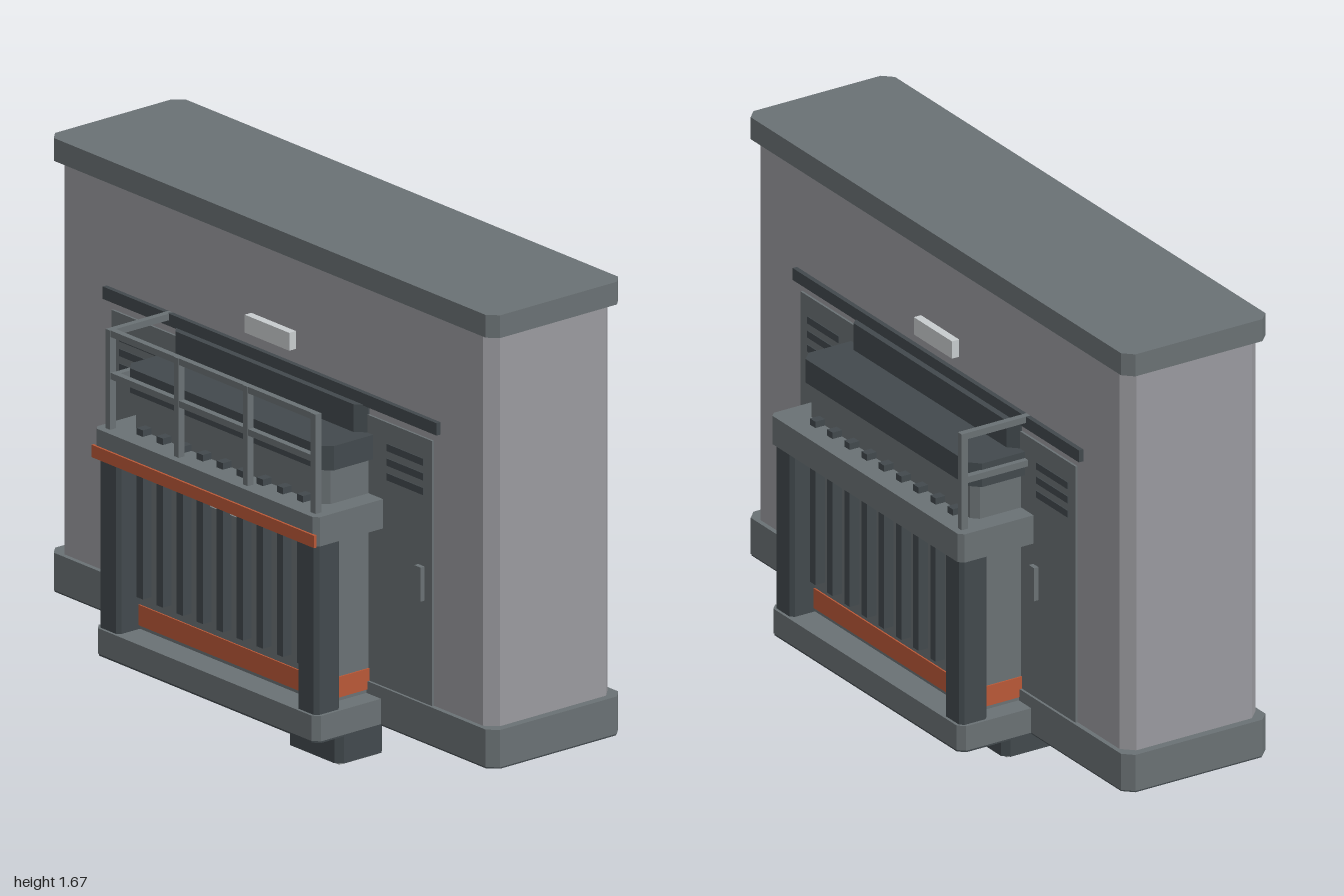
import * as THREE from 'three';

const paint = (name, color) => {
  const m = new THREE.MeshStandardMaterial({ color });
  m.name = name;
  return m;
};

export function createModel() {
  const root = new THREE.Group();
  root.name = 'wallUnit';
  const mid = paint('slateGrey', 0x6a7174);
  const pale = paint('stoneGrey', 0x9a9a9f);
  const dark = paint('charcoal', 0x42494d);
  const rust = paint('rustOrange', 0xb95837);
  const light = paint('lightPanel', 0xc8ccce);

  const add = (parent, name, geo, mat) => {
    const m = new THREE.Mesh(geo, mat);
    m.name = name;
    parent.add(m);
    return m;
  };

  // Box given by its limits on each axis
  const box = (parent, name, mat, x0, x1, y0, y1, z0, z1) => {
    const m = add(parent, name, new THREE.BoxGeometry(x1 - x0, y1 - y0, z1 - z0), mat);
    m.position.set((x0 + x1) / 2, (y0 + y1) / 2, (z0 + z1) / 2);
    return m;
  };

  // Upright prism with cut corners, centred at (cx, cz)
  const prism = (parent, name, mat, hx, hz, y0, y1, c, cx = 0, cz = 0) => {
    const s = new THREE.Shape([
      [hx - c, -hz], [hx, -hz + c], [hx, hz - c], [hx - c, hz],
      [-hx + c, hz], [-hx, hz - c], [-hx, -hz + c], [-hx + c, -hz],
    ].map(([x, y]) => new THREE.Vector2(x, y)));
    const g = new THREE.ExtrudeGeometry(s, { depth: y1 - y0, bevelEnabled: false });
    g.rotateX(-Math.PI / 2);
    const m = add(parent, name, g, mat);
    m.position.set(cx, y0, cz);
    return m;
  };

  // Main mass
  prism(root, 'plinth', mid, 1, 0.25, 0.28, 0.395, 0.03);
  prism(root, 'body', pale, 0.975, 0.235, 0.395, 1.6, 0.035);
  prism(root, 'cornice', mid, 1, 0.25, 1.6, 1.67, 0.03);
  prism(root, 'plinthUnderside', dark, 0.998, 0.248, 0.275, 0.28, 0.03);

  // Mounting stem and foot
  box(root, 'stem', dark, -0.055, 0.055, 0.1, 0.28, -0.027, 0.027);
  prism(root, 'foot', dark, 0.12, 0.09, 0.01, 0.11, 0.02);
  box(root, 'footPad', light, -0.1, 0.1, 0, 0.01, -0.07, 0.07);

  // Projecting bay running through the body
  prism(root, 'bayFloor', mid, 0.5, 0.495, 0.28, 0.358, 0.02);
  prism(root, 'bayUnderside', dark, 0.498, 0.493, 0.274, 0.28, 0.02);
  prism(root, 'bayWall', mid, 0.435, 0.405, 0.358, 1.08, 0.02);
  prism(root, 'baySkirt', rust, 0.44, 0.41, 0.37, 0.433, 0.02);
  prism(root, 'bayLedge', mid, 0.5, 0.495, 0.88, 0.97, 0.015);
  prism(root, 'bayRoof', dark, 0.455, 0.42, 1.08, 1.155, 0.03);
  prism(root, 'bayRoofStep', dark, 0.43, 0.27, 1.155, 1.24, 0.03);

  // Details shared by both long faces
  for (const s of [1, -1]) {
    const face = new THREE.Group();
    face.name = s > 0 ? 'frontFace' : 'backFace';
    root.add(face);
    const on = (name, mat, x0, x1, y0, y1, z0, z1) =>
      box(face, name, mat, x0, x1, y0, y1, Math.min(s * z0, s * z1), Math.max(s * z0, s * z1));

    on('canopyBar', dark, -0.75, 0.75, 1.237, 1.275, 0.22, 0.25);
    on('lampPanel', light, -0.1, 0.1, 1.318, 1.373, 0.22, 0.26);

    for (const side of [1, -1]) {
      // Doors with vents
      const a = side * 0.43, b = side * 0.72;
      on('door', mid, Math.min(a, b), Math.max(a, b), 0.395, 1.21, 0.22, 0.242);
      for (const y of [1.045, 1.09, 1.135])
        on('vent', dark, side * 0.6 - 0.082, side * 0.6 + 0.082, y - 0.011, y + 0.011, 0.24, 0.245);
      // Corner pillars
      prism(face, 'pillar', dark, 0.046, 0.048, 0.358, 0.88, 0.012, side * 0.444, s * 0.438);
    }
    for (const x of [-0.512, 0.672])
      on('doorHandle', mid, x - 0.014, x + 0.014, 0.71, 0.815, 0.24, 0.257);

    // Row of slats
    for (let i = -4; i <= 4; i++)
      on('slat', dark, i * 0.09 - 0.014, i * 0.09 + 0.014, 0.47, 0.99, 0.405, 0.438);

    // Side railing
    for (const y of [1.265, 1.125])
      on('sideRail', mid, -0.472, -0.452, y - 0.01, y + 0.01, 0.23, 0.47);
    on('railPost', mid, -0.472, -0.452, 0.97, 1.275, 0.45, 0.472);
  }

  // Front railing
  for (const y of [1.265, 1.135])
    box(root, 'frontRail', mid, -0.47, 0.47, y - 0.01, y + 0.01, 0.45, 0.47);
  for (const x of [-0.155, 0.155, 0.46])
    box(root, 'railPost', mid, x - 0.011, x + 0.011, 0.97, 1.275, 0.45, 0.472);

  // Front accents
  box(root, 'ledgeStripe', rust, -0.5, 0.5, 0.88, 0.918, 0.493, 0.502);
  box(root, 'wallPanel', light, -0.078, 0.075, 0.825, 0.88, 0.4, 0.411);

  return root;
}
